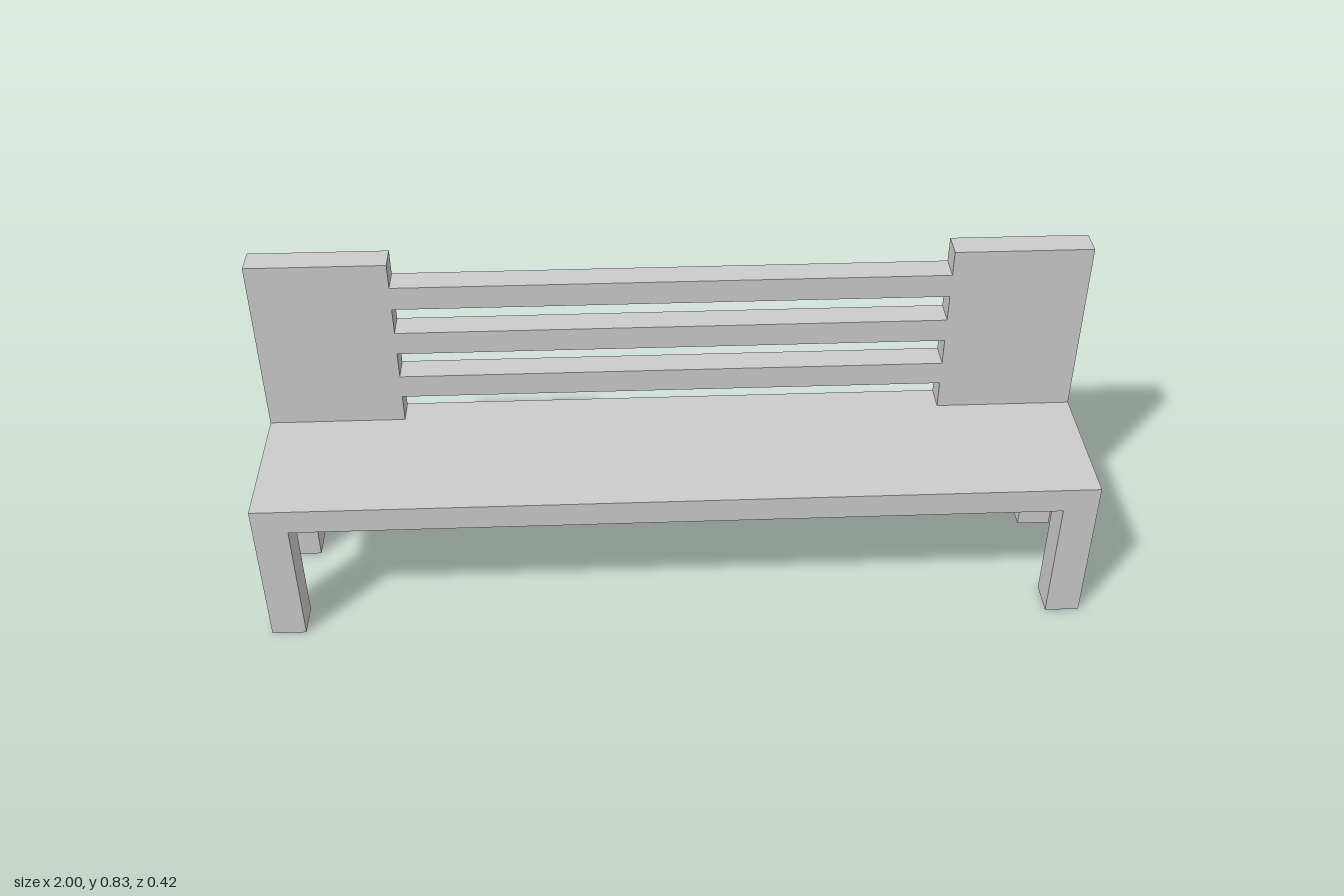
import * as THREE from 'three';

const material = new THREE.MeshStandardMaterial({ color: 0xcccccc, flatShading: true });

// Box given by its min and max corners
function block(name, [x0, y0, z0], [x1, y1, z1]) {
  const mesh = new THREE.Mesh(new THREE.BoxGeometry(x1 - x0, y1 - y0, z1 - z0), material);
  mesh.name = name;
  mesh.position.set((x0 + x1) / 2, (y0 + y1) / 2, (z0 + z1) / 2);
  return mesh;
}

export function createModel() {
  const bench = new THREE.Group();
  bench.name = 'bench';

  const depth = 0.208;                       // half depth of the bench
  const seatBottom = 0.322, seatTop = 0.385;
  const backFront = -0.141;                  // front plane of the backrest
  const panelInner = 0.667, panelTop = 0.833;
  const leg = 0.083;                         // square leg section

  // Seat slab
  bench.add(block('seat', [-1, seatBottom, -depth], [1, seatTop, depth]));

  // Horizontal slats, flush with the end panels
  const backrest = new THREE.Group();
  backrest.name = 'backrest';
  for (let i = 0; i < 3; i++) {
    const y = 0.455 + i * 0.1275;
    backrest.add(block('backSlat', [-panelInner, y, -depth], [panelInner, y + 0.06, backFront]));
  }
  bench.add(backrest);

  // End panels and legs; the right rear leg is set slightly forward
  for (const [side, x0, rearZ] of [['left', 1, -depth], ['right', -1, -depth + 0.04]]) {
    const span = (width) => [Math.min(x0, x0 - x0 * width), Math.max(x0, x0 - x0 * width)];
    const [p0, p1] = span(1 - panelInner);
    const [l0, l1] = span(leg);
    backrest.add(block(`${side}BackPanel`, [p0, seatTop, -depth], [p1, panelTop, backFront]));
    bench.add(block(`${side}FrontLeg`, [l0, 0, depth - leg], [l1, seatBottom, depth]));
    bench.add(block(`${side}RearLeg`, [l0, 0, rearZ], [l1, seatBottom, rearZ + leg]));
  }

  return bench;
}
